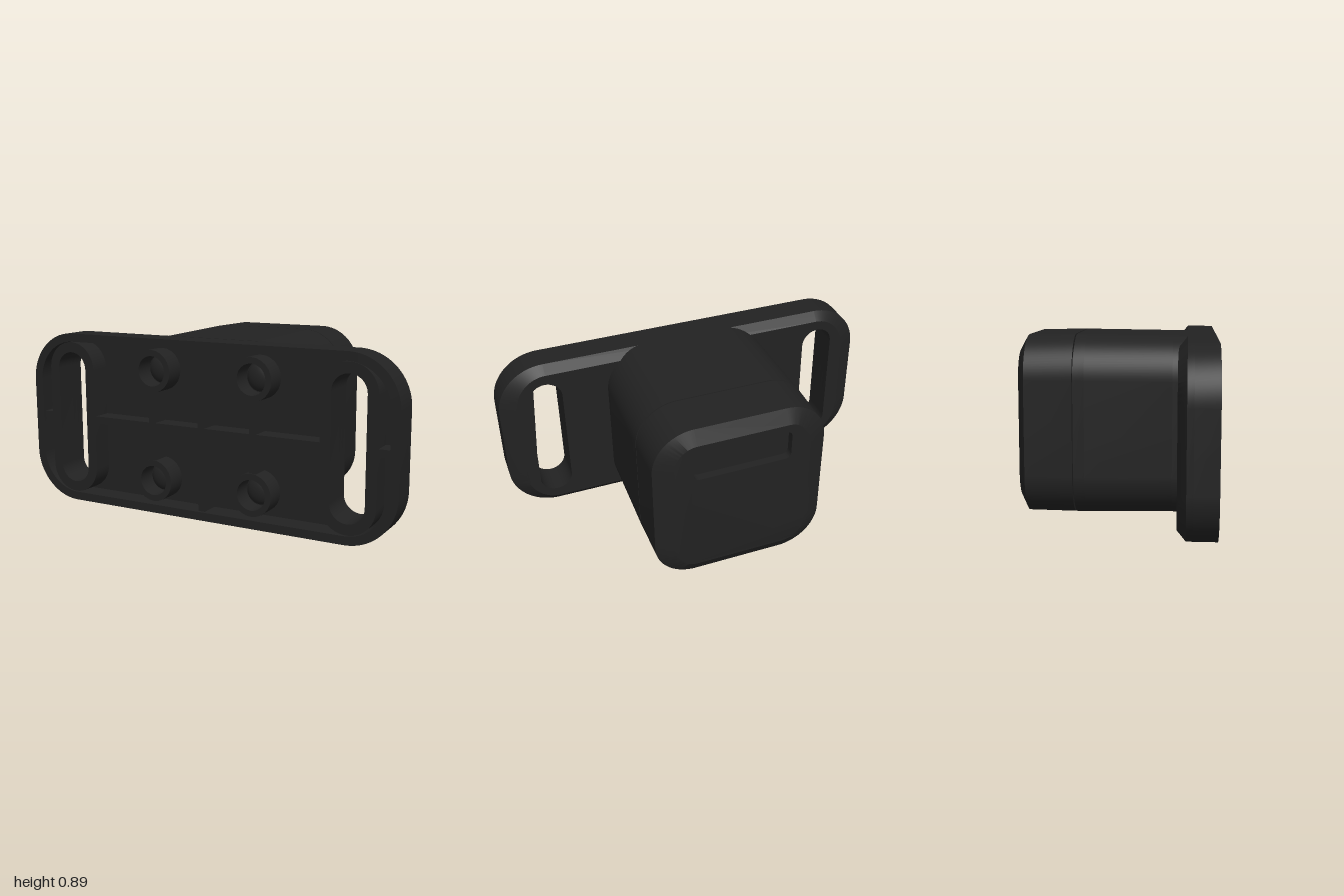
import * as THREE from 'three';
import { toCreasedNormals } from 'three/addons/utils/BufferGeometryUtils.js';

const CY = 0.445; // height of the centre line; parts are laid out around it

// Rounded rectangle outline; an optional notch is cut into its bottom edge
function roundRect(w, h, r, Type = THREE.Shape, notch = null) {
  const s = new Type();
  if (notch) {
    s.moveTo(-notch.x, -h);
    s.lineTo(-notch.x, notch.top);
    s.lineTo(notch.x, notch.top);
    s.lineTo(notch.x, -h);
  } else s.moveTo(-(w - r), -h);
  s.lineTo(w - r, -h);
  s.absarc(w - r, -h + r, r, -Math.PI / 2, 0);
  s.lineTo(w, h - r);
  s.absarc(w - r, h - r, r, 0, Math.PI / 2);
  s.lineTo(-w + r, h);
  s.absarc(-w + r, h - r, r, Math.PI / 2, Math.PI);
  s.lineTo(-w, -h + r);
  s.absarc(-w + r, -h + r, r, Math.PI, Math.PI * 1.5);
  s.closePath();
  return s;
}

// Upright slot outline
function slot(cx, r, half, Type = THREE.Path) {
  const s = new Type();
  s.moveTo(cx + r, -half + r);
  s.lineTo(cx + r, half - r);
  s.absarc(cx, half - r, r, 0, Math.PI);
  s.lineTo(cx - r, -half + r);
  s.absarc(cx, -half + r, r, Math.PI, Math.PI * 2);
  return s;
}

function extrude(shape, z0, z1) {
  const g = new THREE.ExtrudeGeometry(shape, { depth: z1 - z0, bevelEnabled: false, curveSegments: 12 });
  return g.translate(0, 0, z0);
}

// Pull the rear outer edge inwards to make a chamfer, leaving holes alone
function chamferRear(g, zRear, w, h, r, dx, dy) {
  const p = g.attributes.position;
  for (let i = 0; i < p.count; i++) {
    if (Math.abs(p.getZ(i) - zRear) > 1e-4) continue;
    const x = p.getX(i), y = p.getY(i);
    const nx = x - THREE.MathUtils.clamp(x, -w + r, w - r);
    const ny = y - THREE.MathUtils.clamp(y, -h + r, h - r);
    if (Math.hypot(nx, ny) < r - 0.01) continue;
    p.setXY(i, x - (dx * nx) / r, y - (dy * ny) / r);
  }
  return g;
}

// Housing is slightly fuller at the seam than at either end
function taper(g) {
  const p = g.attributes.position;
  for (let i = 0; i < p.count; i++) {
    const z = p.getZ(i);
    const f = z > -0.2 ? 1 - 0.028 * (z + 0.2) : 1 + 0.03 * (z + 0.2);
    p.setXY(i, p.getX(i) * f, p.getY(i) * f);
  }
  return g;
}

export function createModel() {
  const model = new THREE.Group();
  const material = new THREE.MeshStandardMaterial({ color: 0x222222 });
  const add = (name, g, parent) => {
    const m = new THREE.Mesh(toCreasedNormals(g, 0.5), material);
    m.name = name;
    parent.add(m);
    return m;
  };
  const group = (name) => {
    const g = new THREE.Group();
    g.name = name;
    g.position.y = CY;
    model.add(g);
    return g;
  };

  // Mounting plate: chamfered back skin, floor and front rim
  const plate = group('mountingPlate');
  const PW = 1, PH = 0.437, PR = 0.25, SX = 0.76;
  const skin = () => {
    const s = roundRect(PW, PH, PR);
    for (const k of [-1, 1]) s.holes.push(slot(k * SX, 0.085, 0.34));
    return s;
  };
  add('plateBack', chamferRear(extrude(skin(), 0.3, 0.34), 0.3, PW, PH, PR, 0.08, 0.045), plate);
  add('plateFloor', extrude(skin(), 0.34, 0.37), plate);
  const rim = roundRect(PW, PH, PR);
  rim.holes.push(roundRect(PW - 0.045, PH - 0.042, PR - 0.043, THREE.Path));
  add('plateRim', extrude(rim, 0.37, 0.48), plate);

  // Walls around the slots
  for (const k of [-1, 1]) {
    const wall = slot(k * SX, 0.137, 0.392, THREE.Shape);
    wall.holes.push(slot(k * SX, 0.085, 0.34));
    add('slotWall', extrude(wall, 0.37, 0.475), plate);
  }

  // Stiffening ribs
  const rib = (x, y, w, h) =>
    add('rib', new THREE.BoxGeometry(w, h, 0.1).translate(x, y, 0.415), plate);
  rib(0, 0, 0.036, 0.8);
  for (const k of [-1, 1]) {
    rib(k * 0.32, 0, 0.62, 0.036);
    rib(k * 0.28, 0, 0.034, 0.36);
    rib(k * 0.925, 0, 0.07, 0.036);
  }

  // Screw bosses with screw heads
  for (const x of [-0.275, 0.275]) {
    for (const y of [-0.275, 0.275]) {
      const ring = new THREE.Shape().absarc(x, y, 0.105, 0, Math.PI * 2);
      ring.holes.push(new THREE.Path().absarc(x, y, 0.075, 0, Math.PI * 2));
      add('screwBoss', extrude(ring, 0.37, 0.47), plate);
      const head = new THREE.SphereGeometry(0.07, 24, 8, 0, Math.PI * 2, 0, Math.PI / 2);
      head.scale(1, 0.5, 1).rotateX(Math.PI / 2).translate(x, y, 0.37);
      add('screwHead', head, plate);
    }
  }

  // Housing: solid front end, hollow middle open underneath, solid wall by the seam
  const housing = group('housing');
  const W = 0.442, H = 0.445, R = 0.21;
  const notch = { x: 0.225, top: 0.3 };
  add('housingFront', taper(extrude(roundRect(W, H, R), 0.27, 0.345)), housing);
  add('housingShell', taper(extrude(roundRect(W, H, R, THREE.Shape, notch), -0.15, 0.27)), housing);
  add('housingWall', taper(extrude(roundRect(W, H, R), -0.202, -0.15)), housing);
  add('seamCore', extrude(roundRect(W - 0.03, H - 0.03, R - 0.03), -0.21, -0.2), housing);

  // Posts and ribs inside the hollow
  for (const k of [-1, 1]) {
    const post = new THREE.CylinderGeometry(0.04, 0.04, 0.3, 20).rotateX(Math.PI / 2);
    add('innerPost', post.translate(k * 0.13, -0.2, 0.13), housing);
    add('innerRib', new THREE.BoxGeometry(0.03, 0.5, 0.12).translate(k * 0.06, 0.05, 0.22), housing);
  }

  // Rear cap with chamfered edge and a recessed window
  const cap = group('rearCap');
  add('capBody', taper(extrude(roundRect(W, H, R), -0.44, -0.208)), cap);
  const face = roundRect(W, H, R);
  const wx = 0.25, y0 = 0.175, y1 = 0.335, c = 0.035;
  const win = new THREE.Path();
  win.moveTo(-wx + c, y0);
  win.lineTo(wx - c, y0);
  win.quadraticCurveTo(wx, y0, wx, y0 + c);
  win.lineTo(wx, y1 - c);
  win.quadraticCurveTo(wx, y1, wx - c, y1);
  win.lineTo(-wx + c, y1);
  win.quadraticCurveTo(-wx, y1, -wx, y1 - c);
  win.lineTo(-wx, y0 + c);
  win.quadraticCurveTo(-wx, y0, -wx + c, y0);
  face.holes.push(win);
  add('capFace', taper(chamferRear(extrude(face, -0.48, -0.44), -0.48, W, H, R, 0.09, 0.07)), cap);

  return model;
}
